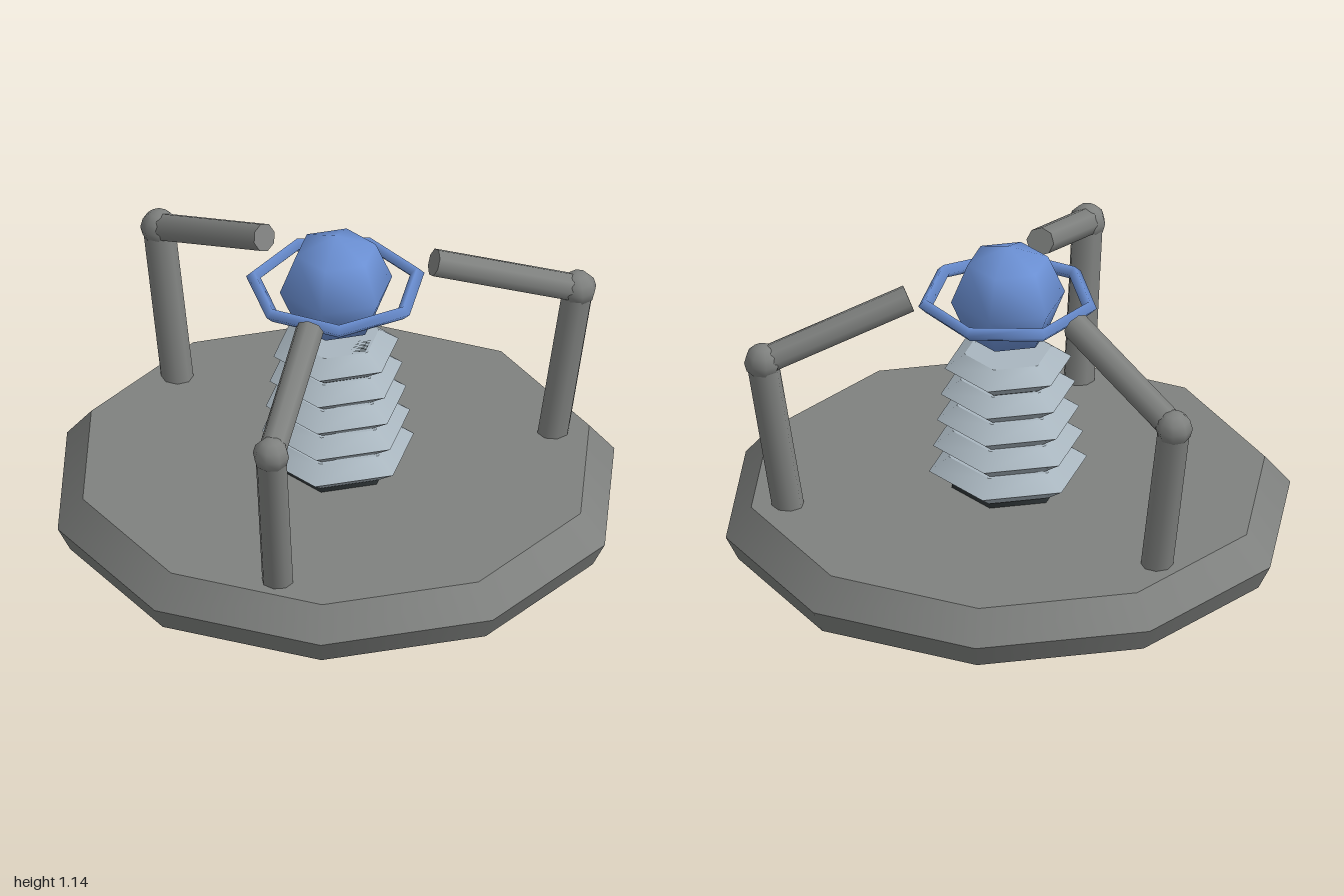
import * as THREE from 'three';
import { mergeGeometries } from 'three/addons/utils/BufferGeometryUtils.js';

const mat = (name, color) => {
  const m = new THREE.MeshStandardMaterial({ color });
  m.name = name;
  return m;
};

const part = (name, geometry, material) => {
  const m = new THREE.Mesh(geometry, material);
  m.name = name;
  return m;
};

// Stacked polygonal bands with crisp edges between them; profile = [radius, y] from bottom to top
function bands(profile, sides) {
  const list = [];
  for (let i = 0; i < profile.length - 1; i++) {
    const [r0, y0] = profile[i], [r1, y1] = profile[i + 1];
    const g = new THREE.CylinderGeometry(r1, r0, y1 - y0, sides, 1, true, Math.PI / 2);
    list.push(g.translate(0, (y0 + y1) / 2, 0));
  }
  return mergeGeometries(list);
}

// Flat polygon facing up or down
function disc(radius, y, sides, up = true) {
  return new THREE.CircleGeometry(radius, sides).rotateX(up ? -Math.PI / 2 : Math.PI / 2).translate(0, y, 0);
}

// Rod between two points
function rod(name, a, b, radius, material) {
  const dir = b.clone().sub(a);
  const m = part(name, new THREE.CylinderGeometry(radius, radius, dir.length(), 8), material);
  m.position.copy(a).add(b).multiplyScalar(0.5);
  m.quaternion.setFromUnitVectors(new THREE.Vector3(0, 1, 0), dir.normalize());
  return m;
}

export function createModel() {
  const grey = mat('metal grey', 0x7f817f);
  const dark = mat('dark metal', 0x2a3032);
  const pale = mat('pale steel', 0xa9b6bf);
  const blue = mat('energy blue', 0x6b90d4);
  const model = new THREE.Group();
  model.name = 'orbPedestal';

  // Ten-sided base with bevelled rim
  const base = new THREE.Group();
  base.name = 'base';
  base.add(
    part('baseRim', bands([[0.955, 0], [1, 0.09], [0.91, 0.2]], 10), grey),
    part('baseTop', disc(0.91, 0.2, 10), grey),
    part('baseUnderside', disc(0.955, 0, 10, false), dark)
  );
  model.add(base);

  // Column: dark core with five tapering coils
  const core = new THREE.CylinderGeometry(0.145, 0.2, 0.53, 6, 1, false, Math.PI / 2);
  model.add(part('columnCore', core.translate(0, 0.46, 0), dark));
  for (let i = 0; i < 5; i++) {
    const r = 0.28 - i * 0.0138, y = 0.273 + i * 0.1005;
    const coil = mergeGeometries([
      bands([[r - 0.07, y - 0.05], [r, y], [r - 0.07, y + 0.05]], 6),
      disc(r - 0.07, y + 0.05, 6),
      disc(r - 0.07, y - 0.05, 6, false)
    ]);
    model.add(part('coil' + (i + 1), coil, pale));
  }

  // Floating orb and its seven-sided halo
  const orb = part('orb', new THREE.SphereGeometry(0.202, 6, 4), blue);
  orb.position.y = 0.935;
  const halo = part('halo', new THREE.TorusGeometry(0.292, 0.026, 4, 7).rotateX(Math.PI / 2), blue);
  halo.position.y = 0.931;
  model.add(orb, halo);

  // Three jointed arms pointing at the orb
  const foot = new THREE.Vector3(0.777, 0.18, 0);
  const elbow = new THREE.Vector3(0.87, 0.775, 0);
  const tip = new THREE.Vector3(0.352, 0.968, 0);
  for (let i = 0; i < 3; i++) {
    const arm = new THREE.Group();
    arm.name = 'arm' + (i + 1);
    const joint = part('elbow', new THREE.SphereGeometry(0.065, 8, 6), grey);
    joint.position.copy(elbow);
    arm.add(rod('lowerArm', foot, elbow, 0.056, grey), joint, rod('upperArm', elbow, tip, 0.05, grey));
    arm.rotation.y = (i * Math.PI * 2) / 3;
    model.add(arm);
  }
  return model;
}
